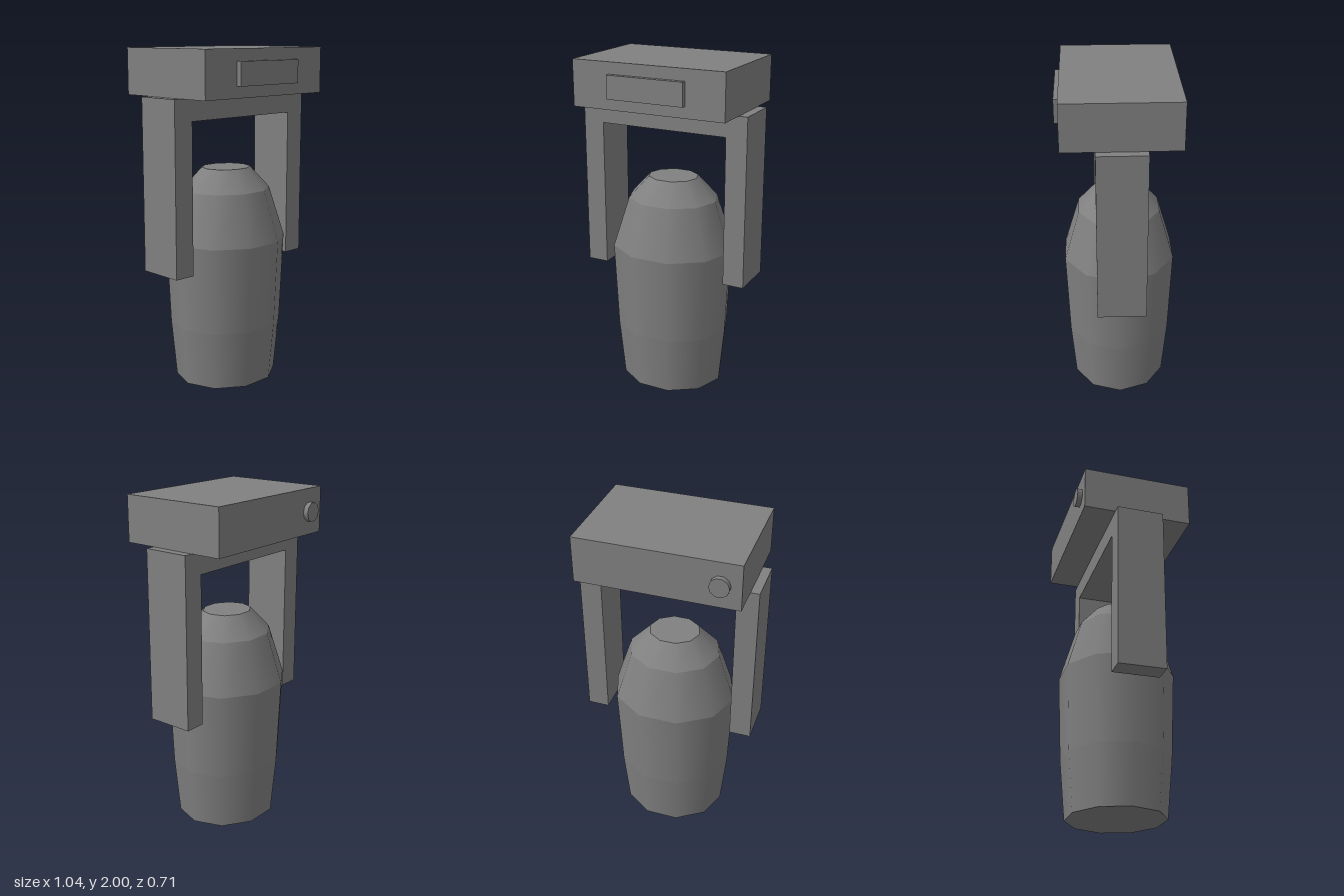
import * as THREE from 'three';

const material = new THREE.MeshStandardMaterial({ color: 0x808080 });
const SIDES = 10;

function add(parent, name, geometry, x = 0, y = 0, z = 0) {
  const mesh = new THREE.Mesh(geometry, material);
  mesh.name = name;
  mesh.position.set(x, y, z);
  parent.add(mesh);
  return mesh;
}

// Lamp head: stacked ten-sided bands, creased between bands, slightly flattened front to back
function createLampHead() {
  const head = new THREE.Group();
  head.name = 'lampHead';
  const rings = [[0.318, 0], [0.352, 0.35], [0.375, 0.866], [0.275, 1.168], [0.152, 1.297]];
  const names = ['lensRim', 'lowerBody', 'upperBody', 'backCap'];
  names.forEach((name, i) => {
    const [r0, y0] = rings[i];
    const [r1, y1] = rings[i + 1];
    const band = new THREE.CylinderGeometry(r1, r0, y1 - y0, SIDES, 1, true, Math.PI / 2);
    add(head, name, band, 0, (y0 + y1) / 2, 0);
  });

  // Flat ends
  const lens = new THREE.CircleGeometry(rings[0][0], SIDES).rotateX(Math.PI / 2);
  add(head, 'lens', lens);
  const cap = new THREE.CircleGeometry(rings[4][0], SIDES).rotateX(-Math.PI / 2);
  add(head, 'capEnd', cap, 0, rings[4][1], 0);

  head.scale.z = 0.91;
  return head;
}

// Yoke: upside-down U, extruded front to back
function createYokeGeometry() {
  const outer = 0.52, inner = 0.393, bottom = 0.721, under = 1.604, top = 1.731, depth = 0.28;
  const outline = [
    [-outer, bottom], [-inner, bottom], [-inner, under], [inner, under],
    [inner, bottom], [outer, bottom], [outer, top], [-outer, top],
  ].map(([x, y]) => new THREE.Vector2(x, y));
  return new THREE.ExtrudeGeometry(new THREE.Shape(outline), { depth, bevelEnabled: false })
    .translate(0, 0, -depth / 2);
}

export function createModel() {
  const model = new THREE.Group();
  model.name = 'hangingMovingLight';

  model.add(createLampHead());
  add(model, 'yoke', createYokeGeometry());

  // Ceiling base with its front display and rear connector
  add(model, 'base', new THREE.BoxGeometry(0.936, 0.269, 0.655), 0, 1.8655, 0);
  add(model, 'displayPanel', new THREE.BoxGeometry(0.468, 0.135, 0.05), 0, 1.8645, 0.332);
  const connector = new THREE.CylinderGeometry(0.057, 0.057, 0.05, SIDES, 1, false, Math.PI / 2)
    .rotateX(Math.PI / 2);
  add(model, 'powerConnector', connector, -0.352, 1.8645, -0.332);

  return model;
}
